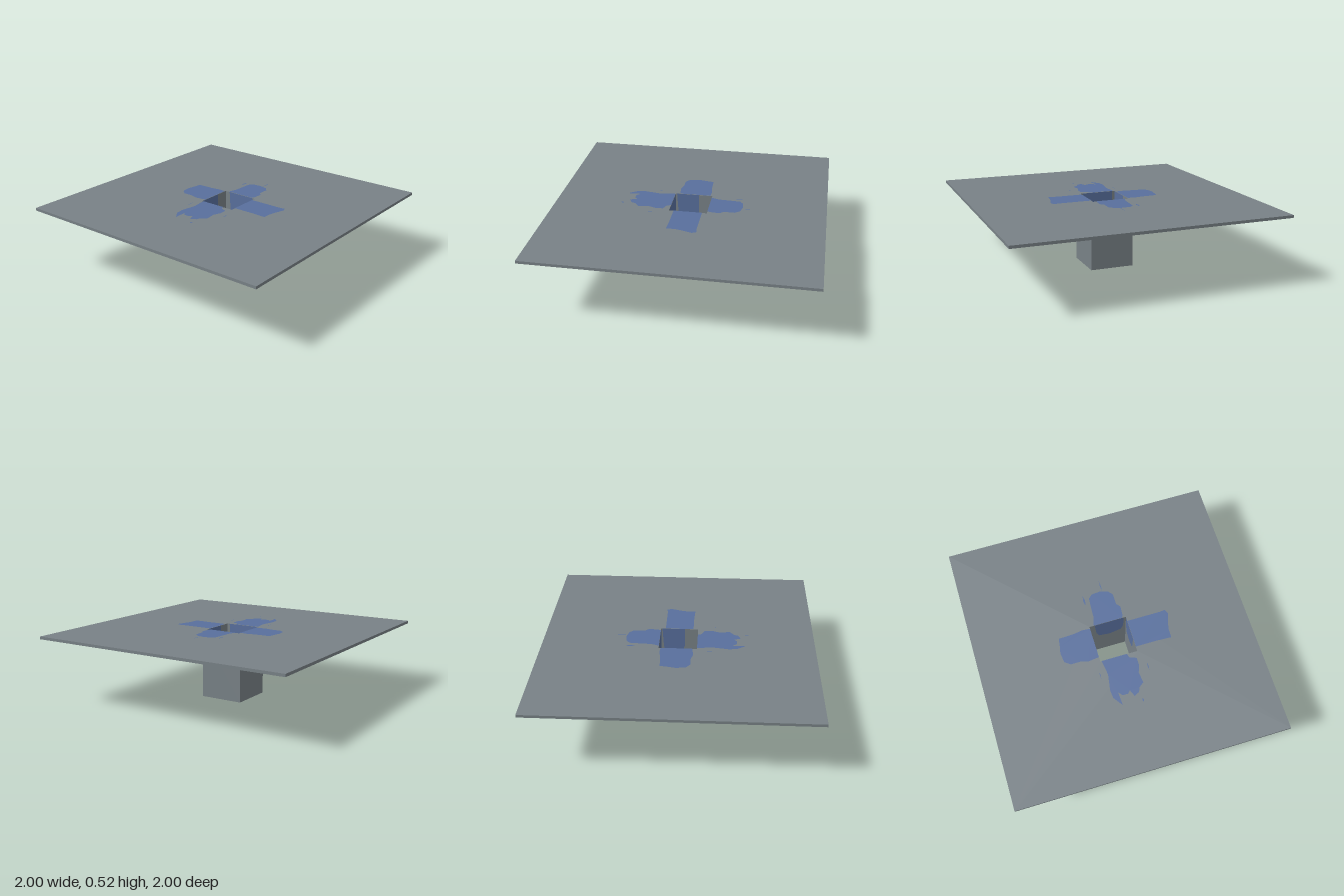
import * as THREE from 'three';

const TOP = 0.515, PLATE = 0.02, INNER = 0.14, OUTER = 0.165;

const gray = new THREE.MeshStandardMaterial({ color: 0x788186 });
gray.name = 'concrete gray';
const blue = new THREE.MeshStandardMaterial({ color: 0x586f9d });
blue.name = 'water blue';

const toShape = (pts) => new THREE.Shape(pts.map(([x, y]) => new THREE.Vector2(x, y)));
const square = (h) => [[-h, -h], [h, -h], [h, h], [-h, h]];

// Square slab with a square opening, extruded upwards from y
function frame(name, half, y, height) {
  const shape = toShape(square(half));
  shape.holes.push(toShape(square(INNER)));
  const geo = new THREE.ExtrudeGeometry(shape, { depth: height, bevelEnabled: false });
  geo.rotateX(-Math.PI / 2).translate(0, y, 0);
  const mesh = new THREE.Mesh(geo, gray);
  mesh.name = name;
  return mesh;
}

// Flat stain on top of the plate, points given as [x, z]
function stain(name, pts) {
  const geo = new THREE.ShapeGeometry(toShape(pts.map(([x, z]) => [x, -z])));
  geo.rotateX(-Math.PI / 2).translate(0, TOP + 0.002, 0);
  const mesh = new THREE.Mesh(geo, blue);
  mesh.name = name;
  return mesh;
}

export function createModel() {
  const model = new THREE.Group();
  model.name = 'drainPlate';
  model.add(frame('plate', 1, TOP - PLATE, PLATE));
  model.add(frame('shaft', OUTER, 0, TOP - PLATE));

  // Four ragged arms around the opening
  model.add(stain('backStain', [
    [-0.11, -0.14], [-0.09, -0.2], [-0.085, -0.3], [-0.08, -0.36], [-0.05, -0.385], [0.01, -0.39],
    [0.07, -0.375], [0.1, -0.34], [0.1, -0.26], [0.125, -0.23], [0.12, -0.16], [0.11, -0.14]]));
  model.add(stain('frontStain', [
    [-0.13, 0.14], [-0.115, 0.25], [-0.135, 0.37], [-0.13, 0.43], [-0.08, 0.5], [-0.085, 0.4],
    [-0.06, 0.43], [-0.02, 0.43], [0, 0.41], [0.02, 0.46], [0.06, 0.44], [0.07, 0.41], [0.11, 0.38],
    [0.1, 0.3], [0.12, 0.25], [0.12, 0.19], [0.07, 0.17], [0.06, 0.14]]));
  model.add(stain('leftStain', [
    [0.14, -0.105], [0.39, -0.105], [0.43, -0.11], [0.445, -0.08], [0.42, 0], [0.41, 0.05],
    [0.41, 0.11], [0.3, 0.105], [0.14, 0.105]]));
  model.add(stain('rightStain', [
    [-0.14, -0.125], [-0.2, -0.13], [-0.26, -0.12], [-0.38, -0.115], [-0.39, -0.05], [-0.4, 0],
    [-0.39, 0.07], [-0.35, 0.1], [-0.28, 0.1], [-0.22, 0.115], [-0.14, 0.105]]));

  // Small splashes: x, z, half width, half length
  [[0.03, -0.43, 0.004, 0.045], [-0.12, -0.35, 0.008, 0.04], [-0.17, 0.24, 0.003, 0.03],
    [0.18, 0.27, 0.004, 0.03], [0.07, 0.505, 0.007, 0.015]].forEach(([x, z, w, l]) => {
    model.add(stain('splash', [[x, z - l], [x + w, z], [x, z + l], [x - w, z]]));
  });

  // Stains running down the inner walls: wall angle, left and right edges
  [[0, -0.1, 0.12], [Math.PI / 2, -0.13, 0.04], [Math.PI, -0.12, 0.12], [-Math.PI / 2, -0.13, 0.04]]
    .forEach(([angle, a, b]) => {
      const mid = (a + b) / 2;
      const geo = new THREE.ShapeGeometry(toShape([
        [a, TOP], [a + 0.01, 0.36], [a + 0.03, 0.3], [mid, 0.28], [b - 0.02, 0.31], [b, 0.37], [b, TOP]]));
      geo.translate(0, 0, -INNER + 0.002).rotateY(angle);
      const mesh = new THREE.Mesh(geo, blue);
      mesh.name = 'wallStain';
      model.add(mesh);
    });

  return model;
}
